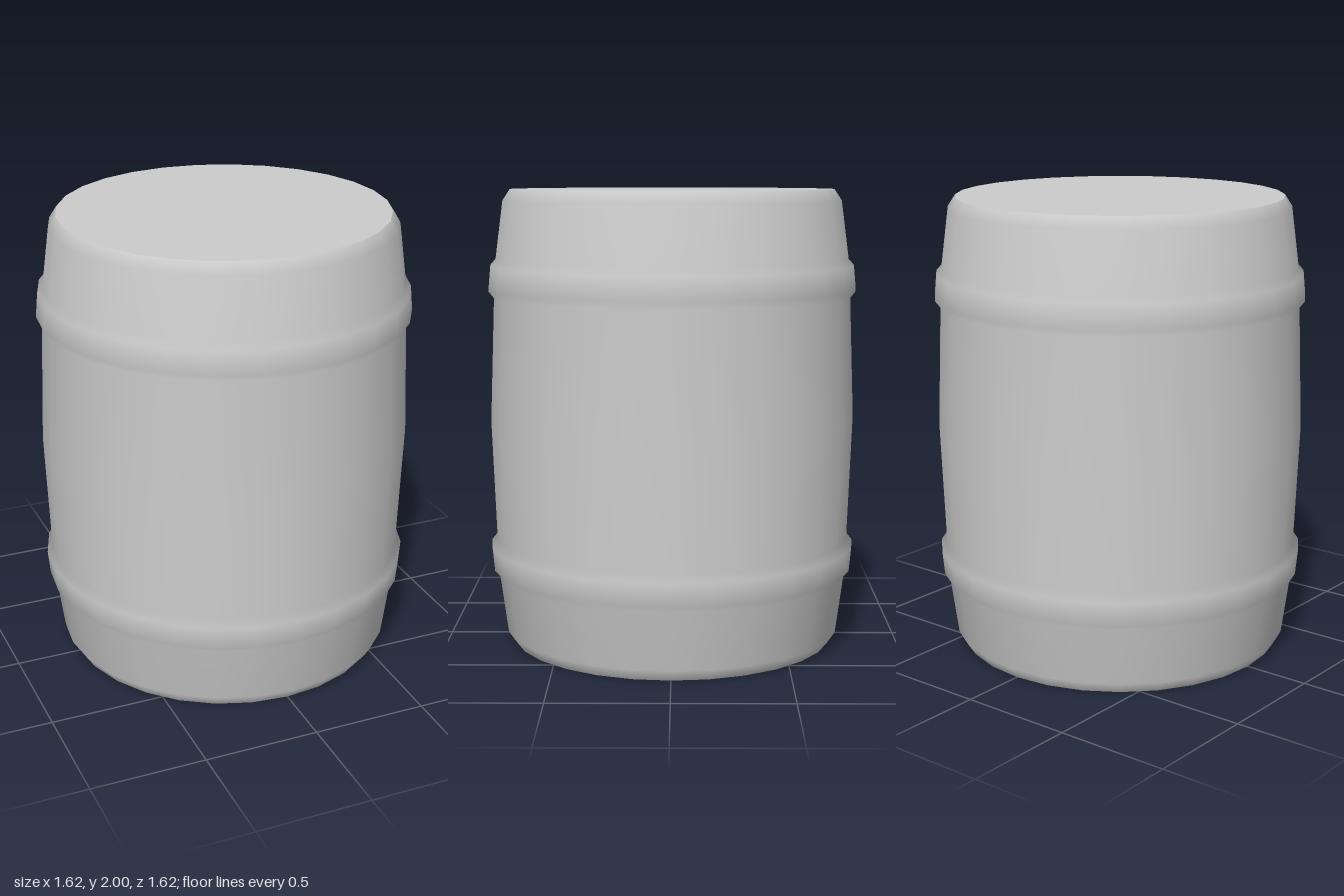
import * as THREE from 'three';

const SIDES = 28;

export function createModel() {
  const barrel = new THREE.Group();
  barrel.name = 'barrel';
  const grey = new THREE.MeshStandardMaterial({ color: 0xcccccc });
  grey.name = 'plain grey';

  // Lower half of the wall profile (radius, height), mirrored about y = 1
  const lower = [[0.71, 0], [0.743, 0.05], [0.777, 0.305], [0.8, 0.33], [0.81, 0.435], [0.786, 0.465]];
  const upper = lower.map(([r, y]) => [r, 2 - y]).reverse();
  const profile = [...lower, [0.806, 1], ...upper].map(([r, y]) => new THREE.Vector2(r, y));

  // Bulging wall with its two raised hoops
  const wall = new THREE.Mesh(new THREE.LatheGeometry(profile, SIDES), grey);
  wall.name = 'barrelWall';
  barrel.add(wall);

  // Flat ends, kept separate so the rims stay sharp
  for (const [name, y, tilt] of [['lid', 2, -1], ['base', 0, 1]]) {
    const end = new THREE.Mesh(new THREE.CircleGeometry(0.71, SIDES), grey);
    end.name = name;
    end.rotation.x = tilt * Math.PI / 2;
    end.position.y = y;
    barrel.add(end);
  }
  return barrel;
}
